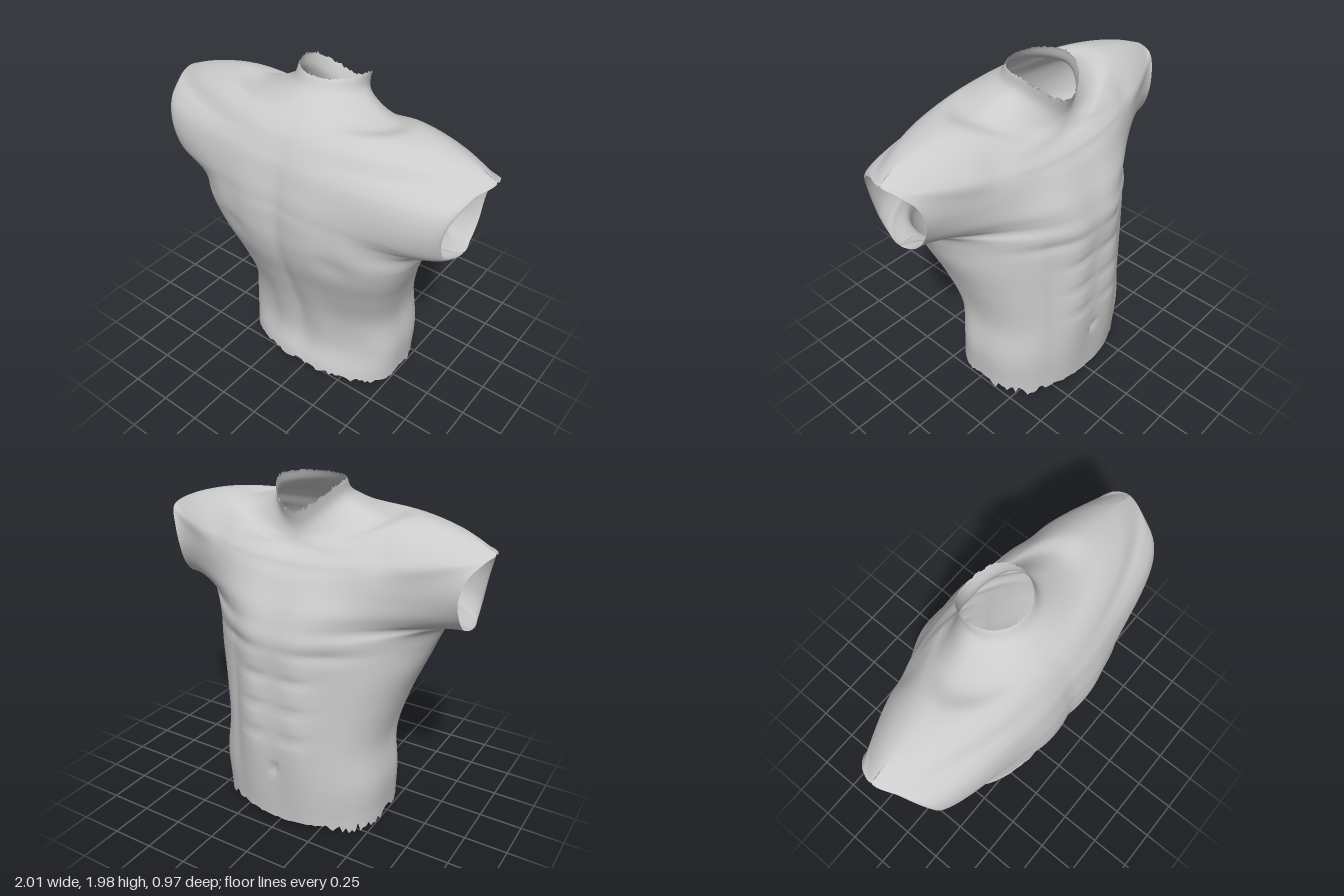
import * as THREE from 'three';
import { mergeVertices } from 'three/addons/utils/BufferGeometryUtils.js';

const COLS = 36; // columns from the centre line to the flank
const STEPS = 7; // interpolated rows between two sections

// A section: edge point on the flank, then [y, z, falloff] on the chest and back centre lines.
// An open section (beside the arm hole) has a second edge point for the back.
const section = (edge, chest, back, backEdge = edge) => ({ edge, chest, back, backEdge, open: backEdge !== edge });

const waist = [
  section([0.52, 0.09, -0.02], [0.055, -0.435, 0.7], [0.125, 0.325, 0.75]),
  section([0.53, 0.3, -0.01], [0.3, -0.455, 0.7], [0.3, 0.275, 0.75]),
  section([0.505, 0.55, 0.01], [0.55, -0.47, 0.75], [0.55, 0.3, 0.72]),
  section([0.56, 0.8, 0.06], [0.8, -0.465, 0.88], [0.8, 0.375, 0.65]),
  section([0.635, 1, 0.1], [1, -0.46, 1.1], [1, 0.445, 0.63]),
  section([0.69, 1.14, 0.13], [1.13, -0.465, 1.35], [1.15, 0.475, 0.68]),
  section([0.745, 1.235, 0.12], [1.21, -0.46, 1.65], [1.25, 0.48, 0.82]),
];
const arms = [
  section([0.9, 1.27, 0.09], [1.28, -0.44, 2.9], [1.33, 0.48, 1.1]),
  section([0.89, 1.29, 0], [1.32, -0.428, 3.2], [1.38, 0.475, 1.15], [0.89, 1.29, 0.18]),
  section([0.885, 1.365, -0.075], [1.37, -0.41, 3.3], [1.44, 0.47, 1.15], [0.88, 1.35, 0.265]),
  section([0.885, 1.49, -0.12], [1.44, -0.38, 3.4], [1.52, 0.455, 1.15], [0.89, 1.49, 0.31]),
  section([0.92, 1.61, -0.105], [1.52, -0.345, 2.8], [1.61, 0.435, 1.2], [0.925, 1.61, 0.27]),
  section([0.98, 1.685, -0.04], [1.57, -0.315, 1.9], [1.66, 0.415, 1.2], [0.965, 1.68, 0.16]),
  section([1, 1.71, 0.04], [1.6, -0.3, 1.4], [1.7, 0.397, 1.2]),
];
const shouldersAndNeck = [
  section([0.83, 1.785, 0.05], [1.63, -0.272, 1.15], [1.75, 0.37, 1.1]),
  section([0.57, 1.838, 0.05], [1.655, -0.24, 1], [1.8, 0.33, 1]),
  section([0.43, 1.816, 0.05], [1.675, -0.225, 1], [1.84, 0.285, 1]),
  section([0.3, 1.852, 0.03], [1.7, -0.215, 1], [1.875, 0.235, 1]),
  section([0.205, 1.91, -0.01], [1.76, -0.21, 1], [1.925, 0.17, 1]),
  section([0.187, 1.99, -0.05], [1.86, -0.235, 1], [1.985, 0.132, 1]),
];
const sections = [...waist, ...arms, ...shouldersAndNeck];

let seed = 7;
const random = () => (seed = (seed * 16807) % 2147483647) / 2147483647;

const bump = (x, y, cx, cy, rx, ry) => Math.exp(-(((x - cx) / rx) ** 2) - ((y - cy) / ry) ** 2);

// Muscle relief, as distance outward from the chest or the back
function chestRelief(x, y) {
  let d = 0.022 * bump(x, y, 0.15, 0.75, 0.1, 0.6);
  d += 0.025 * bump(x, y, 0.27, 1.34, 0.17, 0.13); // breast muscle
  d -= 0.012 * bump(x, y, 0.26, 1.14, 0.2, 0.035);
  for (const cy of [0.62, 0.8, 0.98]) d -= 0.012 * bump(x, y, 0.12, cy, 0.1, 0.025); // stomach creases
  d -= 0.01 * bump(x, y, 0.29, 0.7, 0.04, 0.4);
  d -= 0.025 * bump(x, y, 0, 0.4, 0.025, 0.03); // navel
  d += 0.012 * bump(x, y, 0.2, 1.69, 0.14, 0.03); // collar bone
  d -= 0.015 * bump(x, y, 0.5, 1.66, 0.08, 0.09);
  return d;
}
function backRelief(x, y) {
  let d = 0.018 * bump(x, y, 0.2, 1.3, 0.14, 0.35);
  d += 0.016 * bump(x, y, 0.13, 0.5, 0.09, 0.35); // muscles beside the spine
  d += 0.014 * bump(x, y, 0.42, 1.25, 0.1, 0.12); // shoulder blade
  d -= 0.01 * bump(x, y, 0.33, 1.12, 0.1, 0.07);
  d -= 0.01 * bump(x, y, 0, 1.1, 0.04, 0.6); // spine
  return d;
}

// One point on a section, from the centre line (s = 0) to the flank (s = 1)
function sectionPoint([xe, ye, ze], [yc, zc, falloff], s) {
  const a = (s * Math.PI) / 2;
  const k = Math.sin(a);
  const f = s === 1 ? 0 : Math.cos(a) ** falloff;
  return new THREE.Vector3(xe * k, yc + (ye - yc) * k ** 1.8, ze + (zc - ze) * f);
}

// Grid of points for half of one side; grid[column][row]
function halfGrid(side, edge, sign, relief) {
  const rows = (sections.length - 1) * STEPS;
  return Array.from({ length: COLS + 1 }, (_, i) => {
    const s = i / COLS;
    const curve = new THREE.CatmullRomCurve3(sections.map((c) => sectionPoint(c[edge], c[side], s)));
    const fade = 1 - s ** 6;
    return curve.getPoints(rows).map((p) => {
      p.z += sign * fade * relief(p.x, p.y);
      return p;
    });
  });
}

// Join both sides along the flank, except round the arm hole
function closeFlanks(chest, back) {
  const first = sections.findIndex((c) => c.open) - 1;
  const last = first + sections.filter((c) => c.open).length + 1;
  chest[COLS].forEach((p, j) => {
    if (j > first * STEPS && j < last * STEPS) return;
    p.lerp(back[COLS][j], 0.5);
    back[COLS][j].copy(p);
  });
}

// Torn lower hem and neck rim
function tear(strip, isChest) {
  const top = strip[0].length - 1;
  strip.forEach((column, i) => {
    if (i === 0 || i === strip.length - 1) return;
    const side = THREE.MathUtils.smoothstep(Math.abs(column[0].x), 0.25, 0.42);
    column[0].y -= random() * (isChest ? 0.012 + 0.06 * side : 0.035);
    column[top].y -= random() * (isChest ? 0.025 : 0.008);
  });
}

function addStrip(half, isChest, positions, indices) {
  const mirrored = half.slice(1).reverse().map((c) => c.map((p) => new THREE.Vector3(-p.x, p.y, p.z)));
  const strip = [...mirrored, ...half];
  tear(strip, isChest);
  const start = positions.length / 3;
  const n = strip[0].length;
  strip.forEach((column) => column.forEach((p) => positions.push(p.x, p.y, p.z)));
  for (let i = 0; i < strip.length - 1; i++) {
    for (let j = 0; j < n - 1; j++) {
      const a = start + i * n + j, up = a + 1, b = a + n, bUp = b + 1;
      if (isChest) indices.push(a, up, b, b, up, bUp);
      else indices.push(a, b, up, b, bUp, up);
    }
  }
}

export function createModel() {
  const chest = halfGrid('chest', 'edge', -1, chestRelief);
  const back = halfGrid('back', 'backEdge', 1, backRelief);
  closeFlanks(chest, back);

  const positions = [];
  const indices = [];
  addStrip(chest, true, positions, indices);
  addStrip(back, false, positions, indices);

  let geometry = new THREE.BufferGeometry();
  geometry.setAttribute('position', new THREE.Float32BufferAttribute(positions, 3));
  geometry.setIndex(indices);
  geometry = mergeVertices(geometry, 1e-4);
  geometry.computeVertexNormals();

  const torso = new THREE.Mesh(
    geometry,
    new THREE.MeshStandardMaterial({ color: 0xcccccc, side: THREE.DoubleSide })
  );
  torso.name = 'torsoShell';
  const model = new THREE.Group();
  model.name = 'torso';
  model.add(torso);
  return model;
}
